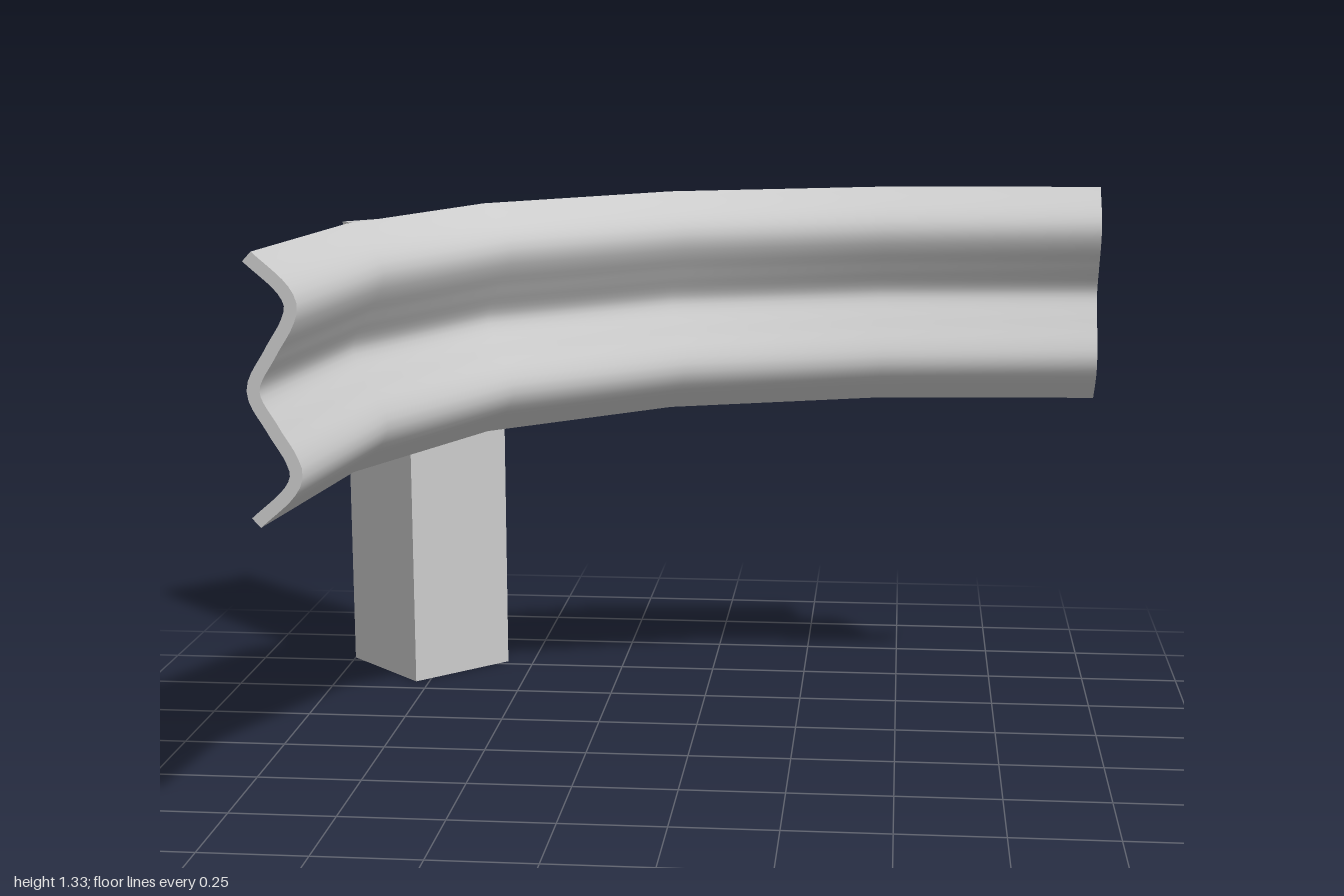
import * as THREE from 'three';
import { toCreasedNormals } from 'three/addons/utils/BufferGeometryUtils.js';

const material = new THREE.MeshStandardMaterial({ color: 0xcccccc });
const DEPTH = 0.107, HALF_THICKNESS = 0.013, MID_Y = 1.052;

// Bend stations in plan: [back x, back z, front x, front z]
const STATIONS = [
  [-0.78, 0.985, -0.673, 0.985],
  [-0.722, 0.42, -0.62, 0.445],
  [-0.51, -0.10, -0.42, -0.04],
  [-0.095, -0.48, -0.043, -0.395],
  [0.437, -0.675, 0.45, -0.57],
  [1, -0.72, 1, -0.615],
];

// W-shaped centre line (depth, height), thickened into front and back edges
function railSection() {
  const half = [[0.01, 0.265], [0.08, 0.2], [0.094, 0.168], [0.085, 0.135], [0.05, 0.076]];
  const points = [
    ...half.map(([d, h]) => new THREE.Vector3(d, MID_Y + h, 0)),
    new THREE.Vector3(0.013, MID_Y, 0),
    ...half.map(([d, h]) => new THREE.Vector3(d, MID_Y - h, 0)).reverse(),
  ];
  const curve = new THREE.CatmullRomCurve3(points);
  const front = [], back = [], n = 40;
  for (let i = 0; i <= n; i++) {
    const p = curve.getPointAt(i / n), t = curve.getTangentAt(i / n);
    const ox = -t.y * HALF_THICKNESS, oy = t.x * HALF_THICKNESS;
    front.push([p.x + ox, p.y + oy]);
    back.push([p.x - ox, p.y - oy]);
  }
  return [...front, ...back.reverse()];
}

// Sweep the section through the bend stations and close both ends
function railGeometry() {
  const section = railSection(), n = section.length, positions = [];
  const rings = STATIONS.map(([bx, bz, fx, fz]) => section.map(([d, y]) => {
    const k = d / DEPTH;
    return [bx + (fx - bx) * k, y, bz + (fz - bz) * k];
  }));
  const tri = (a, b, c) => positions.push(...a, ...b, ...c);
  for (let j = 0; j < rings.length - 1; j++) {
    for (let i = 0; i < n; i++) {
      const k = (i + 1) % n;
      tri(rings[j][i], rings[j][k], rings[j + 1][i]);
      tri(rings[j][k], rings[j + 1][k], rings[j + 1][i]);
    }
  }
  const first = rings[0], last = rings[rings.length - 1];
  for (let i = 0; i < n / 2 - 1; i++) {
    const k = n - 1 - i;
    tri(first[i], first[k], first[i + 1]);
    tri(first[i + 1], first[k], first[k - 1]);
    tri(last[i], last[i + 1], last[k]);
    tri(last[i + 1], last[k - 1], last[k]);
  }
  const geometry = new THREE.BufferGeometry();
  geometry.setAttribute('position', new THREE.Float32BufferAttribute(positions, 3));
  return toCreasedNormals(geometry, Math.PI / 4);
}

// Square post with a horizontal arm, one L-shaped piece
function postGeometry() {
  const width = 0.304, reach = 0.834, top = 1.213, armBottom = 0.907;
  const shape = new THREE.Shape([
    [0, 0], [width, 0], [width, armBottom], [reach, armBottom], [reach, top], [0, top],
  ].map(([x, y]) => new THREE.Vector2(x, y)));
  return new THREE.ExtrudeGeometry(shape, { depth: width, bevelEnabled: false });
}

export function createModel() {
  const group = new THREE.Group();
  group.name = 'curvedGuardRail';

  const rail = new THREE.Mesh(railGeometry(), material);
  rail.name = 'rail';

  const post = new THREE.Mesh(postGeometry(), material);
  post.name = 'postWithArm';
  post.position.set(-0.785, 0, -0.99);
  post.rotation.y = -Math.PI / 4;

  group.add(rail, post);
  return group;
}
